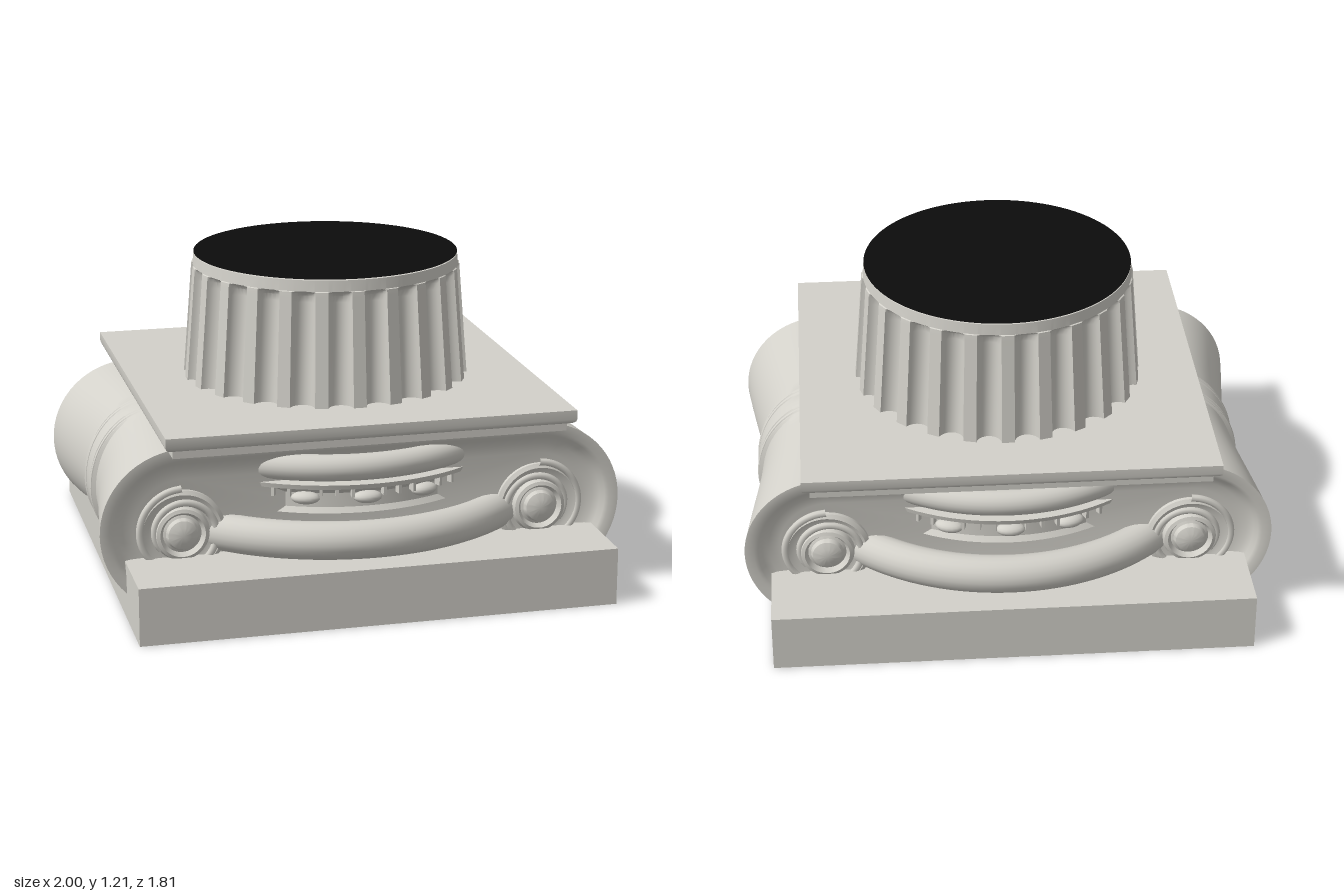
import * as THREE from 'three';
import { toCreasedNormals } from 'three/addons/utils/BufferGeometryUtils.js';

// Skin a list of equal-length rings of [x, y, z] and close both ends
function loft(rings, crease = 0.6) {
  const n = rings[0].length, pos = [], idx = [];
  rings.forEach((ring) => ring.forEach((p) => pos.push(...p)));
  for (let i = 0; i < rings.length - 1; i++) {
    for (let j = 0; j < n; j++) {
      const k = (j + 1) % n, a = i * n, b = a + n;
      idx.push(a + j, a + k, b + k, a + j, b + k, b + j);
    }
  }
  [rings[0], rings[rings.length - 1]].forEach((ring, end) => {
    const c = pos.length / 3, base = end ? (rings.length - 1) * n : 0;
    pos.push(...[0, 1, 2].map((q) => ring.reduce((s, p) => s + p[q], 0) / n));
    for (let j = 0; j < n; j++) {
      const k = (j + 1) % n;
      idx.push(c, base + (end ? j : k), base + (end ? k : j));
    }
  });
  const g = new THREE.BufferGeometry();
  g.setAttribute('position', new THREE.Float32BufferAttribute(pos, 3));
  g.setIndex(idx);
  return toCreasedNormals(g, crease);
}

const lathe = (pts, segs = 96, start = 0) => toCreasedNormals(
  new THREE.LatheGeometry(pts.map(([x, y]) => new THREE.Vector2(x, y)), segs, start), 0.6);

// Stadium outline of the scroll body; the waist narrows sides and underside only
function scrollRing(z, waist, inset) {
  const ring = [], steps = 32, cx = 0.68, cy = 0.33;
  for (const side of [1, -1]) {
    for (let i = 0; i <= steps; i++) {
      const a = (i / steps - 0.5) * Math.PI;
      const s = Math.sin(a) * side;
      const r = 0.32 - waist - inset;
      const ry = s > 0 ? 0.315 - inset : r;
      ring.push([side * (cx + r * Math.cos(a)), cy + ry * s, z]);
    }
  }
  return ring;
}

// Fluted ring: narrow flat ribs with round hollows between them
function flutedRing(y, r, depth) {
  const ring = [], flutes = 24, half = 0.33, steps = 10;
  for (let f = 0; f < flutes; f++) {
    for (let i = 0; i <= steps; i++) {
      const c = -Math.cos((i / steps) * Math.PI);
      const a = ((f + 0.5 + half * c) / flutes) * Math.PI * 2;
      const q = r - depth * Math.sqrt(Math.max(0, 1 - c * c));
      ring.push([q * Math.sin(a), y, q * Math.cos(a)]);
    }
  }
  return ring;
}

export function createModel() {
  const model = new THREE.Group();
  const stone = new THREE.MeshStandardMaterial({ color: 0xd3d1ca });
  stone.name = 'pale stone';
  const black = new THREE.MeshStandardMaterial({ color: 0x0c0c0c });
  black.name = 'black';
  const add = (name, geo, parent = model, mat = stone) => {
    const m = new THREE.Mesh(geo, mat);
    m.name = name;
    parent.add(m);
    return m;
  };

  // Square base and square slab under the shaft
  add('plinth', new THREE.BoxGeometry(1.81, 0.22, 1.81)).position.y = 0.11;
  const q = Math.SQRT2;
  add('abacus', lathe([[0, 0.645], [0.745 * q, 0.645], [0.745 * q, 0.675], [0.762 * q, 0.678],
    [0.772 * q, 0.686], [0.775 * q, 0.695], [0.775 * q, 0.73], [0, 0.73]], 4, Math.PI / 4));

  // Scroll body: strapped waist, flared ends, recessed channel on both faces
  const half = [[0, 0.05, 0], [0.043, 0.05, 0], [0.049, 0.068, 0], [0.055, 0.05, 0], [0.063, 0.046, 0],
    [0.07, 0.05, 0], [0.075, 0.07, 0], [0.081, 0.052, 0], [0.09, 0.05, 0], [0.097, 0.066, 0],
    [0.15, 0.062, 0], [0.22, 0.056, 0], [0.32, 0.043, 0], [0.43, 0.027, 0], [0.53, 0.013, 0],
    [0.63, 0, 0], [0.63, 0.0, 0.035], [0.622, 0, 0.05], [0.605, 0, 0.065], [0.592, 0, 0.09], [0.585, 0, 0.13]];
  const back = half.slice(1).reverse().map(([z, w, i]) => [-z, w, i]);
  add('scrollBody', loft([...back, ...half].map((p) => scrollRing(...p))));

  // Round mouldings bulging out between the scrolls
  const ringMoulding = (name, r, tube, y) => {
    const g = new THREE.TorusGeometry(r, tube, 20, 128);
    g.rotateX(Math.PI / 2);
    add(name, g).position.y = y;
  };
  ringMoulding('lowerTorus', 0.775, 0.071, 0.291);
  ringMoulding('upperTorus', 0.66, 0.05, 0.535);
  add('eggBand', lathe([[0.5, 0.34], [0.67, 0.36], [0.655, 0.38], [0.655, 0.435], [0.675, 0.455],
    [0.7, 0.462], [0.705, 0.48], [0.5, 0.485]]));

  // Eggs and small darts on the exposed front and back of the band
  const egg = new THREE.SphereGeometry(1, 16, 10);
  const dart = new THREE.BoxGeometry(0.012, 0.045, 0.03);
  for (let i = 0; i < 72; i++) {
    const a = (i / 72) * Math.PI * 2;
    if (Math.abs(Math.cos(a)) < 0.74) continue;
    const isEgg = i % 4 === 0;
    const m = add(isEgg ? 'egg' : 'dart', isEgg ? egg : dart);
    const r = isEgg ? 0.668 : 0.68;
    if (isEgg) m.scale.set(0.055, 0.024, 0.035);
    m.position.set(r * Math.sin(a), isEgg ? 0.42 : 0.45, r * Math.cos(a));
    m.rotation.y = a;
  }

  // Four volutes: spiral fillet, stepped disc and round eye
  const disc = lathe([[0.165, 0], [0.165, 0.02], [0.15, 0.03], [0.125, 0.02], [0.105, 0.02],
    [0.098, 0.04], [0.085, 0.045], [0.072, 0.025], [0.062, 0.03], [0.055, 0.047], [0.03, 0.058], [0, 0.06]], 48);
  disc.rotateX(Math.PI / 2);
  for (const sx of [1, -1]) {
    const pts = [];
    for (let i = 0; i <= 40; i++) {
      const t = i / 40, a = Math.PI / 2 - sx * t * Math.PI * 2.7, r = 0.172 - 0.075 * t;
      pts.push(new THREE.Vector3(r * Math.cos(a), r * Math.sin(a), 0.022));
    }
    const spiral = new THREE.TubeGeometry(new THREE.CatmullRomCurve3(pts), 90, 0.014, 8);
    for (const sz of [1, -1]) {
      const volute = new THREE.Group();
      volute.name = 'volute';
      volute.position.set(sx * sz * 0.69, 0.31, sz * 0.58);
      volute.rotation.y = sz > 0 ? 0 : Math.PI;
      add('voluteDisc', disc, volute);
      add('voluteSpiral', spiral, volute);
      model.add(volute);
    }
  }

  // Tapered fluted shaft with a plain collar and dark cut face
  add('flutedShaft', loft([[0.72, 0.556, 0.05], [1.12, 0.524, 0.045], [1.145, 0.522, 0.04], [1.158, 0.521, 0.028],
    [1.166, 0.52, 0.008], [1.168, 0.515, 0], [1.21, 0.511, 0]].map((p) => flutedRing(...p))));
  const cut = new THREE.CircleGeometry(0.511, 96);
  cut.rotateX(-Math.PI / 2);
  add('shaftCutFace', cut, model, black).position.y = 1.214;

  return model;
}
